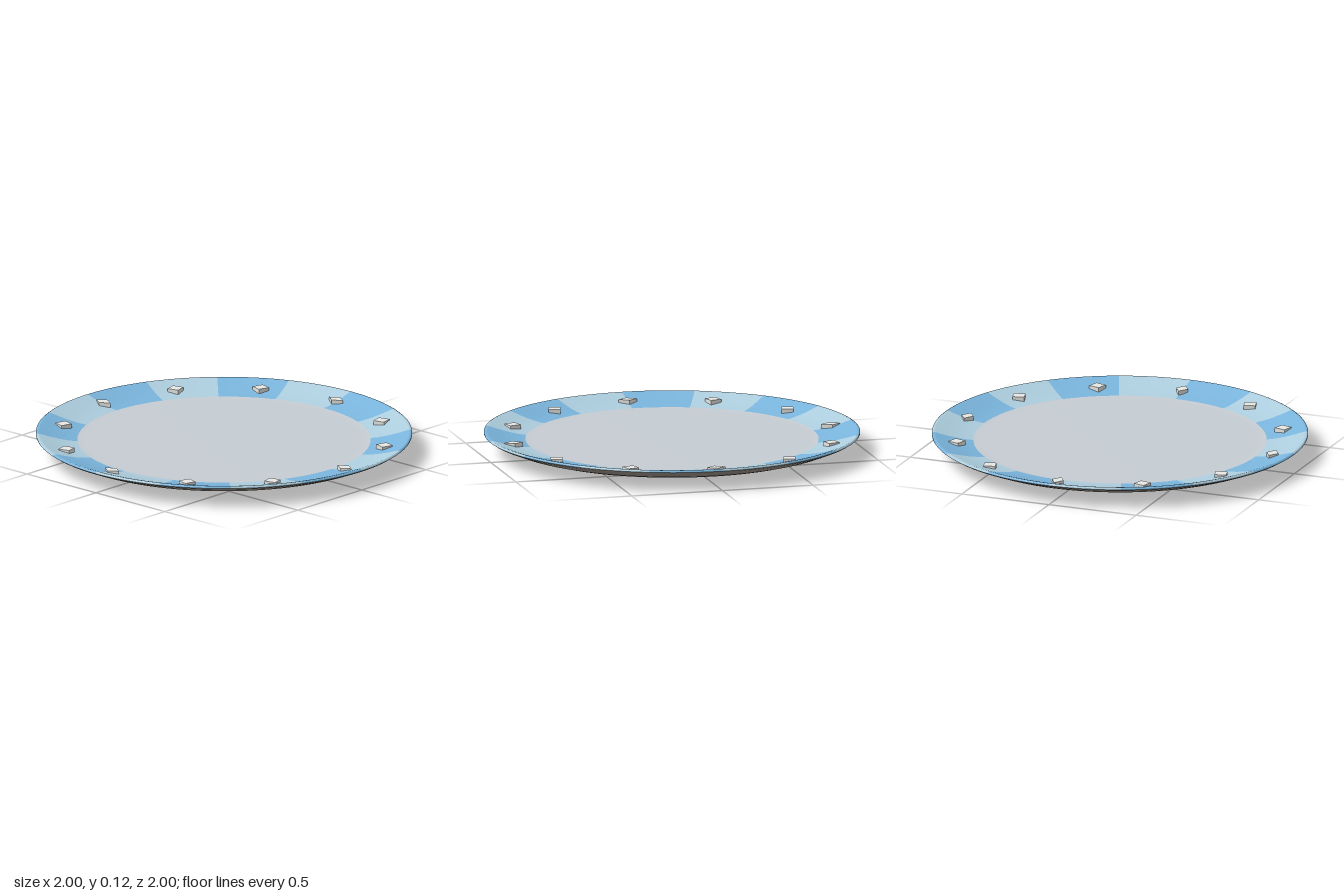
import * as THREE from 'three';

const mat = (name, color, side = THREE.FrontSide) => {
  const m = new THREE.MeshStandardMaterial({ color, side });
  m.name = name;
  return m;
};

export function createModel() {
  const plate = new THREE.Group();
  plate.name = 'plate';

  const clay = mat('warm grey glaze', 0x9c9288);
  const white = mat('pale grey glaze', 0xc6cdd3);
  const lightBlue = mat('light blue glaze', 0xaecfe0);
  const darkBlue = mat('sky blue glaze', 0x7bb6de);
  const diamondWhite = mat('white glaze', 0xf2f2f0);

  const add = (name, geometry, material, parent = plate) => {
    const mesh = new THREE.Mesh(geometry, material);
    mesh.name = name;
    parent.add(mesh);
    return mesh;
  };
  // Profiles run from the bottom centre, around the rim, to the top centre.
  const lathe = (points, segments, start = 0, length = Math.PI * 2) =>
    new THREE.LatheGeometry(points.map(([r, y]) => new THREE.Vector2(r, y)), segments, start, length);

  // Underside with a low foot ring and a shallow recess
  add('underside', lathe([
    [0, 0.015], [0.42, 0.015], [0.48, 0.004], [0.51, 0], [0.56, 0.002], [0.60, 0.02],
    [0.77, 0.03], [0.84, 0.043], [0.90, 0.06], [0.95, 0.08], [0.985, 0.095], [1, 0.105],
  ], 96), clay);

  // Flat eating surface
  add('well', lathe([[0.78, 0.071], [0.74, 0.068], [0, 0.068]], 96), white);

  // Painted border: sixteen sectors in alternating blues
  const border = new THREE.Group();
  border.name = 'border';
  plate.add(border);
  const sector = Math.PI / 8;
  const borderProfile = [
    [1, 0.105], [1, 0.112], [0.992, 0.116], [0.98, 0.114],
    [0.93, 0.099], [0.87, 0.084], [0.82, 0.075], [0.77, 0.0695],
  ];
  for (let i = 0; i < 16; i++) {
    add(i % 2 ? 'darkBorderTile' : 'lightBorderTile',
      lathe(borderProfile, 6, i * sector, sector), i % 2 ? darkBlue : lightBlue, border);
  }

  // Twelve raised diamonds around the border
  const diamonds = new THREE.Group();
  diamonds.name = 'diamonds';
  plate.add(diamonds);
  const diamondGeometry = new THREE.CylinderGeometry(0.045, 0.045, 0.024, 4).toNonIndexed();
  diamondGeometry.computeVertexNormals();
  for (let i = 0; i < 12; i++) {
    const a = (i * Math.PI) / 6;
    const d = add('diamond', diamondGeometry, diamondWhite, diamonds);
    d.position.set(0.875 * Math.sin(a), 0.09, 0.875 * Math.cos(a));
    d.rotation.y = a;
    // The four on the axes are slimmer, with their points along z
    if (i % 3 === 0) {
      d.rotation.y = 0;
      d.scale.set(0.75, 1, 1.15);
    }
  }
  return plate;
}
